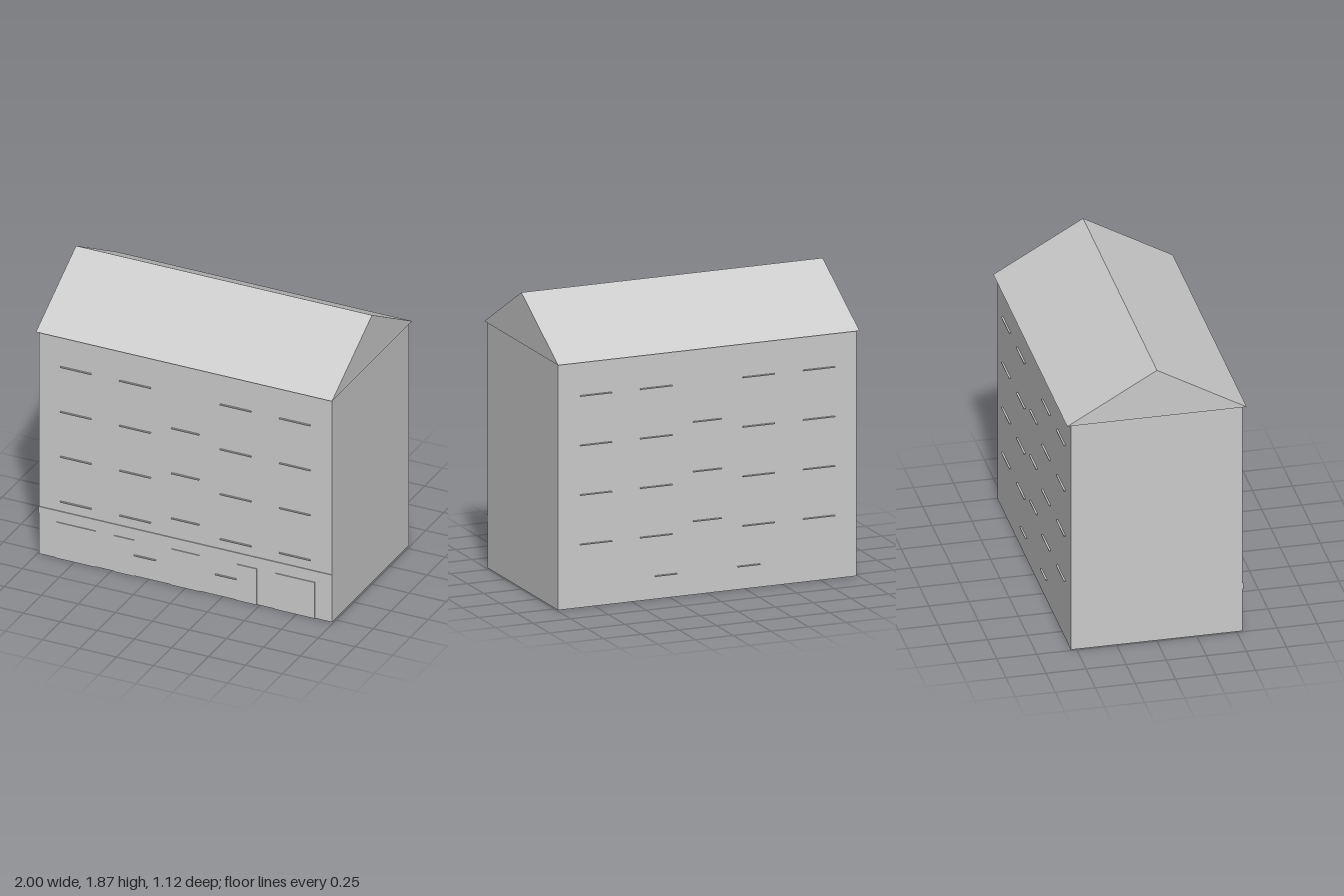
import * as THREE from 'three';

const WALL = { x: 0.99, z: 0.535, top: 1.55 };

export function createModel() {
  const building = new THREE.Group();
  building.name = 'apartmentBuilding';
  const grey = new THREE.MeshStandardMaterial({ color: 0xcccccc, flatShading: true });
  const greyBothSides = new THREE.MeshStandardMaterial({
    color: 0xcccccc, flatShading: true, side: THREE.DoubleSide,
  });

  const add = (name, geometry, parent = building, material = grey) => {
    const mesh = new THREE.Mesh(geometry, material);
    mesh.name = name;
    parent.add(mesh);
    return mesh;
  };
  const addBox = (name, parent, w, h, d, x, y, z) =>
    add(name, new THREE.BoxGeometry(w, h, d), parent).position.set(x, y, z);

  // Hollow walls, open at the bottom and closed above by the roof
  for (const side of [1, -1]) {
    const long = add(side > 0 ? 'frontWall' : 'backWall',
      new THREE.PlaneGeometry(2 * WALL.x, WALL.top), building, greyBothSides);
    long.position.set(0, WALL.top / 2, side * WALL.z);
    long.rotation.y = side > 0 ? 0 : Math.PI;

    const end = add(side > 0 ? 'leftWall' : 'rightWall',
      new THREE.PlaneGeometry(2 * WALL.z, WALL.top), building, greyBothSides);
    end.position.set(side * WALL.x, WALL.top / 2, 0);
    end.rotation.y = side * Math.PI / 2;
  }

  // Gable roof: a closed triangular prism with a slight overhang
  const gable = new THREE.Shape();
  gable.moveTo(-0.56, 0);
  gable.lineTo(0.56, 0);
  gable.lineTo(0, 0.32);
  gable.closePath();
  const roof = add('roof', new THREE.ExtrudeGeometry(gable, { depth: 2, bevelEnabled: false }));
  roof.rotation.y = Math.PI / 2;
  roof.position.set(-1, WALL.top, 0);

  // Window sills, the same on front and back
  for (const side of [1, -1]) {
    const sills = new THREE.Group();
    sills.name = side > 0 ? 'frontSills' : 'backSills';
    building.add(sills);
    const sill = (w, x, y) => addBox('windowSill', sills, w, 0.006, 0.014, x, y, side * 0.539);

    for (let floor = 0; floor < 4; floor++) {
      for (const x of [-0.74, -0.34, 0.34, 0.74]) sill(0.21, x, 0.398 + floor * 0.312);
      // Stairwell windows sit between floors
      if (floor < 3) sill(0.186, 0, 0.463 + floor * 0.313);
    }
    for (const x of [-0.275, 0.275]) sill(0.146, x, 0.145);
  }

  // Shallow ledge above the ground floor
  addBox('ledge', building, 2 * WALL.x, 0.04, 0.006, 0, 0.31, WALL.z + 0.003);

  // Ground floor doors, slightly raised from the wall
  const doors = new THREE.Group();
  doors.name = 'doors';
  building.add(doors);
  const door = (name, w, x) => addBox(name, doors, w, 0.25, 0.006, x, 0.125, WALL.z + 0.003);
  door('mainDoor', 0.19, 0);
  for (const side of [-1, 1]) {
    door('sideDoor', 0.135, side * 0.415);
    door('garageDoor', 0.265, side * 0.74);
  }

  return building;
}
